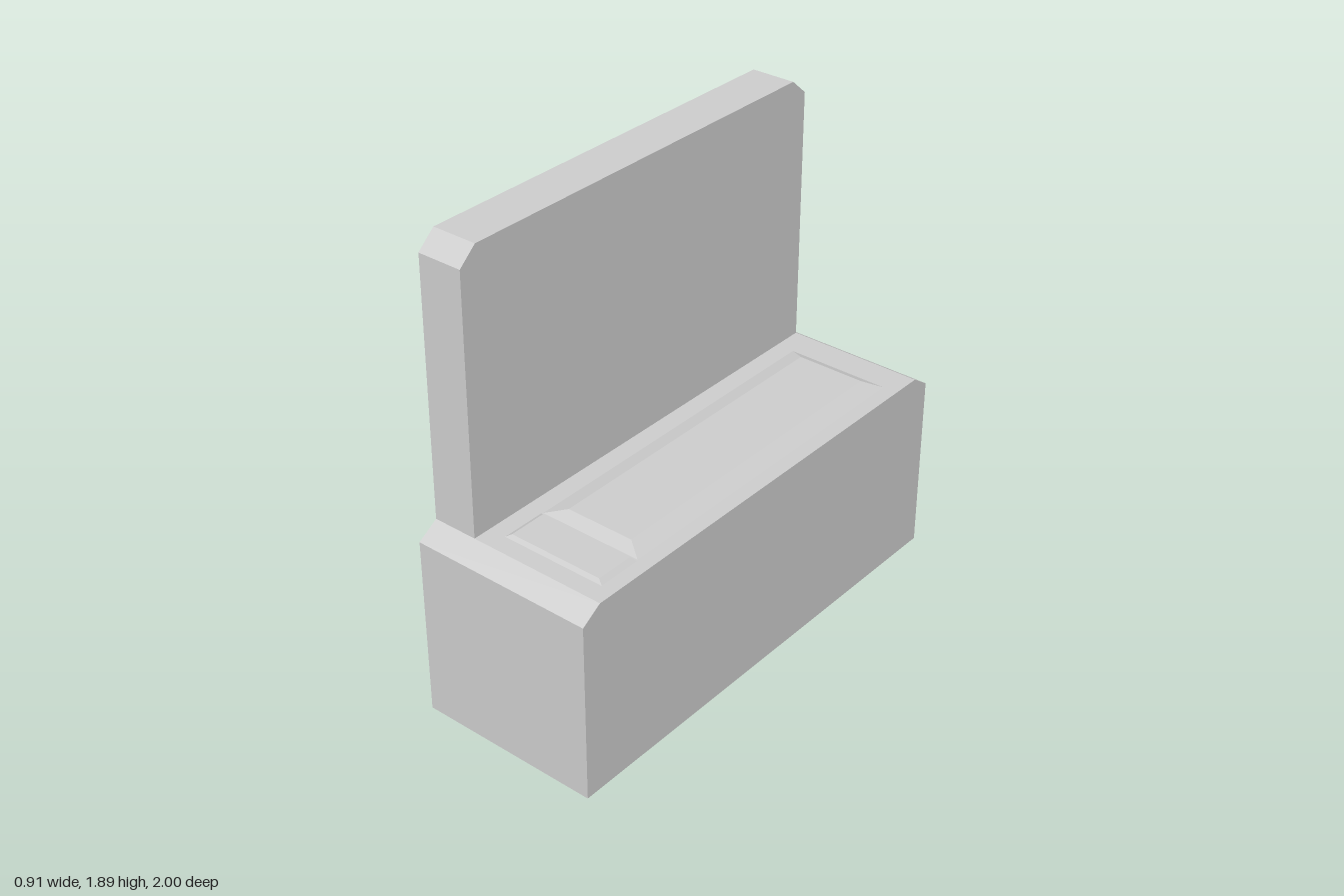
import * as THREE from 'three';
import { ConvexGeometry } from 'three/addons/geometries/ConvexGeometry.js';

const material = new THREE.MeshStandardMaterial({ color: 0xcccccc, flatShading: true });

// Outlines are [z, y] pairs; shapes use -z so that extrusion runs along +x after turning
const toPoints = (outline) => outline.map(([z, y]) => new THREE.Vector2(-z, y));
const rectangle = (z0, z1, y0, y1) => [[z0, y0], [z1, y0], [z1, y1], [z0, y1]];

function slab(outline, x0, x1, hole) {
  const shape = new THREE.Shape(toPoints(outline));
  if (hole) shape.holes.push(new THREE.Path(toPoints(hole)));
  const geometry = new THREE.ExtrudeGeometry(shape, { depth: x1 - x0, bevelEnabled: false });
  return geometry.rotateY(Math.PI / 2).translate(x0, 0, 0);
}

// Raised panel with sloping sides; base and top are [x0, x1, z0, z1]
function raisedPanel(base, top, y0, y1) {
  const corners = ([x0, x1, z0, z1], y) =>
    [[x0, z0], [x1, z0], [x1, z1], [x0, z1]].map(([x, z]) => new THREE.Vector3(x, y, z));
  return new ConvexGeometry([...corners(base, y0), ...corners(top, y1)]);
}

export function createModel() {
  const model = new THREE.Group();
  model.name = 'computerTerminal';
  const add = (name, geometry) => {
    const mesh = new THREE.Mesh(geometry, material);
    mesh.name = name;
    model.add(mesh);
  };

  const back = -0.3, recess = -0.15, face = -0.115;

  // Base cabinet with chamfered top ends
  add('baseCabinet', slab(
    [[-1, 0], [1, 0], [1, 0.737], [0.915, 0.79], [-0.92, 0.79], [-1, 0.737]], back, 0.455));

  // Monitor: solid rear body and a bezel around the recessed screen
  const monitorOutline = (bottom) => [
    [-0.92, bottom], [0.915, bottom], [0.908, 1.825], [0.835, 1.89], [-0.845, 1.89], [-0.92, 1.825]];
  add('monitorBody', slab(monitorOutline(0.79), back, recess));
  add('screenBezel', slab(monitorOutline(0.79), recess, face, rectangle(-0.845, 0.84, 0.87, 1.78)));

  // Tapered housing down the whole rear
  const at = (x, outline) => outline.map(([z, y]) => new THREE.Vector3(x, y, z));
  add('rearHousing', new ConvexGeometry([
    ...at(back, monitorOutline(0)),
    ...at(-0.458, rectangle(-0.62, 0.605, 0.41, 1.48))]));

  // Raised panels on the desk surface
  add('keyboardPanel', raisedPanel(
    [-0.045, 0.4, -0.8, 0.658], [0.035, 0.32, -0.75, 0.6], 0.788, 0.811));
  add('sidePad', raisedPanel(
    [-0.045, 0.4, 0.658, 0.842], [-0.02, 0.375, 0.672, 0.828], 0.788, 0.804));

  return model;
}
